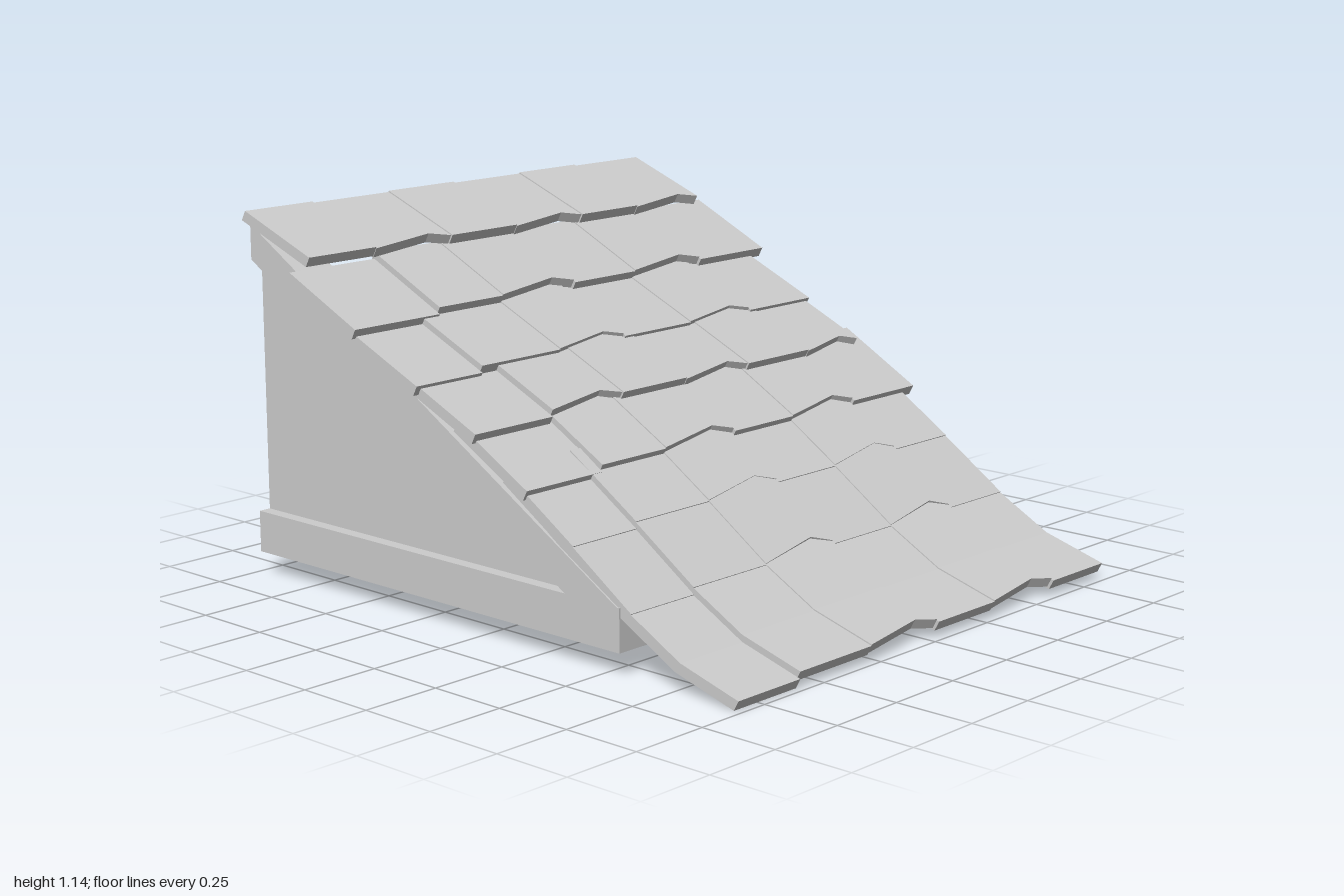
import * as THREE from 'three';

const material = new THREE.MeshStandardMaterial({ color: 0xcccccc, flatShading: true, side: THREE.DoubleSide });

function addMesh(parent, geometry, name) {
  const mesh = new THREE.Mesh(geometry, material);
  mesh.name = name;
  parent.add(mesh);
  return mesh;
}

function polygon(points) {
  return new THREE.Shape(points.map(([x, y]) => new THREE.Vector2(x, y)));
}

// Thin slab: plan outline in x and z, laid on the sloping line from (x0, y0) to (x1, y1)
function shingle([x0, y0, x1, y1], zFront, zBack, notch, drop) {
  const kinkZ = zBack + (zFront - zBack) * 0.22;
  const outline = [[x0, -zFront], [x1, -zFront]];
  if (notch) outline.push([x1 - notch, -kinkZ]);
  outline.push([x1 - notch * 0.2, -zBack], [x0, -zBack]);
  const geometry = new THREE.ExtrudeGeometry(polygon(outline), { depth: 1, bevelEnabled: false });
  const p = geometry.attributes.position;
  for (let i = 0; i < p.count; i++) {
    const x = p.getX(i), under = 1 - p.getZ(i);
    const y = y0 + (y1 - y0) * (x - x0) / (x1 - x0);
    p.setXYZ(i, x - 0.016 * under, y - drop - 0.03 * under, -p.getY(i));
  }
  geometry.computeVertexNormals();
  return geometry;
}

// Each course: sloping line(s), joints along z from front to back, first notched column
const lowerJoints = [0.845, 0.59, 0.28, -0.03, -0.3, -0.6, -0.86];
const courses = [
  { lines: [[-0.984, 1.14, -0.69, 1.03]], joints: [0.865, 0.6, 0.285, 0.005, -0.295, -0.555, -0.86], odd: 1 },
  { lines: [[-0.735, 1.01, -0.445, 0.875]], joints: [0.905, 0.57, 0.305, -0.01, -0.285, -0.6, -0.91], odd: 0 },
  { lines: [[-0.5, 0.87, -0.2, 0.74]], joints: [0.89, 0.63, 0.305, 0.02, -0.28, -0.57, -0.865], odd: 0 },
  { lines: [[-0.24, 0.745, 0.02, 0.63]], joints: [0.87, 0.56, 0.26, -0.02, -0.31, -0.6, -0.855], odd: 1 },
  { lines: [[-0.07, 0.65, 0.21, 0.495]], joints: [0.855, 0.55, 0.28, -0.03, -0.3, -0.6, -0.905], odd: 0 },
  { lines: [[0.12, 0.53, 0.38, 0.365]], joints: lowerJoints, odd: 0 },
  { lines: [[0.3, 0.415, 0.6, 0.215]], joints: lowerJoints, odd: 0 },
  { lines: [[0.53, 0.25, 0.78, 0.115], [0.78, 0.115, 0.99, 0.055]], joints: lowerJoints, odd: 0 },
];

export function createModel() {
  const model = new THREE.Group();
  model.name = 'roofSection';

  // Overlapping courses of shingles, the lowest one flaring out
  courses.forEach(({ lines, joints, odd }, row) => {
    const course = new THREE.Group();
    course.name = `shingleCourse${row + 1}`;
    for (let col = 0; col < 6; col++) {
      const notched = col > 0 && col % 2 === odd;
      const drop = col === 0 && row > 0 ? 0.025 : (col % 2) * 0.004;
      lines.forEach((line, part) => {
        const notch = notched && part === lines.length - 1 ? 0.035 : 0;
        addMesh(course, shingle(line, joints[col], joints[col + 1], notch, drop), 'shingle');
      });
    }
    model.add(course);
  });

  // Gable wall
  const wall = new THREE.ShapeGeometry(polygon([[-0.98, 0.18], [0.55, 0.18], [0.55, 0.21], [-0.98, 1.09]]));
  addMesh(model, wall, 'gableWall').position.z = 0.81;

  // Bottom beam, open towards the inside
  const beam = new THREE.BoxGeometry(1.54, 0.13, 0.14);
  beam.setIndex(Array.from(beam.index.array).slice(0, 30));
  beam.clearGroups();
  addMesh(model, beam, 'bottomBeam').position.set(-0.21, 0.135, 0.78);

  // Sloping beam under the roof edge
  const rake = new THREE.ExtrudeGeometry(
    polygon([[-0.98, 0.99], [0.35, 0.2], [0.55, 0.2], [-0.98, 1.1]]),
    { depth: 0.14, bevelEnabled: false });
  addMesh(model, rake, 'slopingBeam').position.z = 0.71;

  return model;
}
